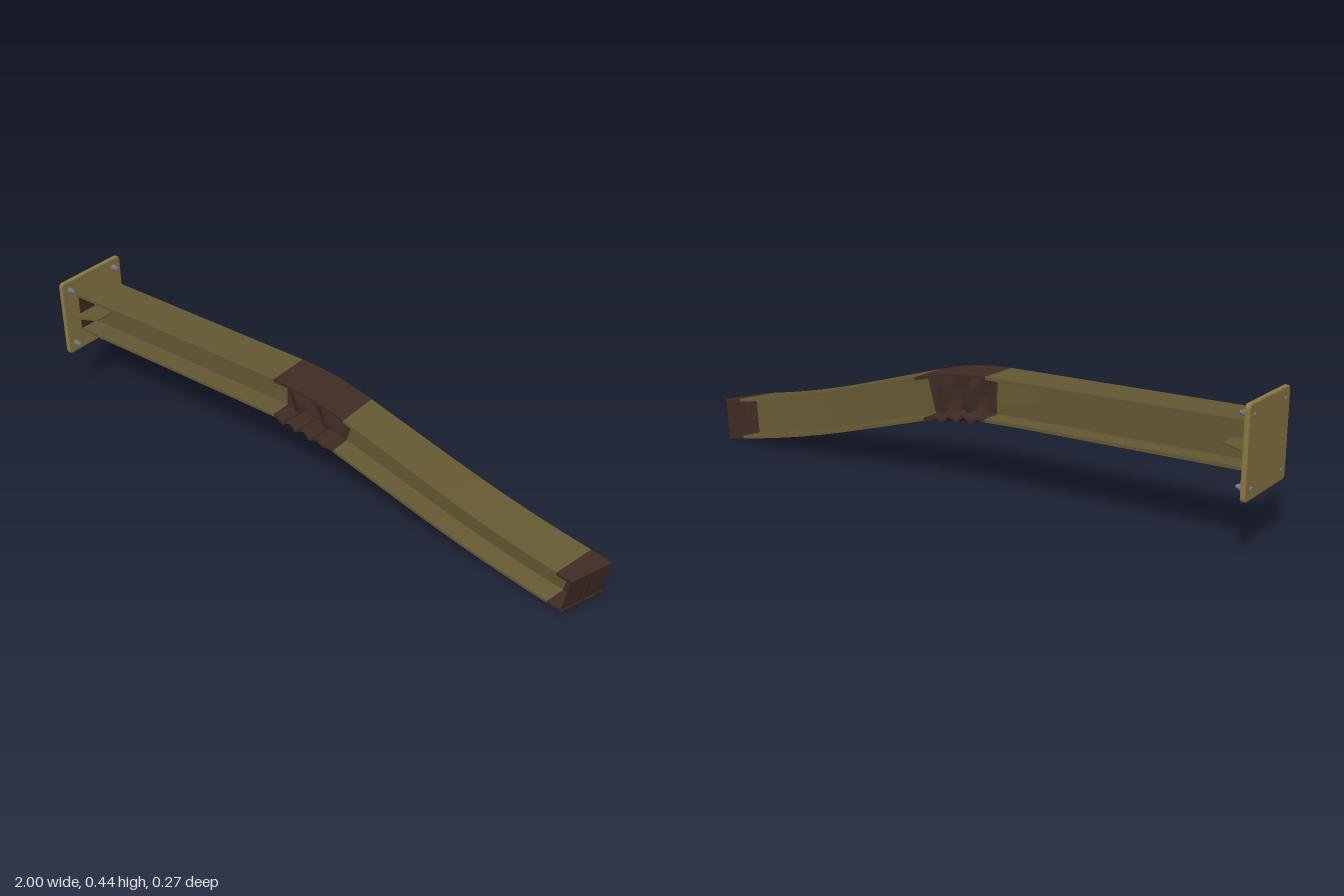
import * as THREE from 'three';

const mat = (name, color) => {
  const m = new THREE.MeshStandardMaterial({ color });
  m.name = name;
  return m;
};
const smooth = THREE.MathUtils.smoothstep;

// Slope and height of the bent beam's centre line at a distance x
const slope = (x) => -0.285 * smooth(x, -0.15, 0.15) + 0.115 * smooth(x, 0.35, 0.97);
function height(x) {
  let y = 0.32;
  const n = 60, dx = (x + 0.2) / n;
  if (dx <= 0) return y;
  for (let i = 0; i < n; i++) y += slope(-0.2 + (i + 0.5) * dx) * dx;
  return y;
}

// Carries a straight-beam point onto the bent, twisted and crumpled beam
function bend(p) {
  let { x: s, y: v, z } = p;
  const kink = smooth(s, -0.14, -0.07) * (1 - smooth(s, 0.06, 0.13));
  const low = smooth(-v, 0.0, 0.065);
  // Buckled web
  const inner = Math.max(0, 1 - (v / 0.062) ** 2);
  if (Math.abs(z) < 0.02) z += kink * inner * 0.013 * Math.sin(s * 55 + v * 25);
  // Wrinkled lower flange
  v += kink * low * (-0.004 + 0.008 * Math.sin(s * 105 + z * 12));
  z *= 1 + 0.08 * kink * low;
  // Twist and slanted cut towards the free end
  const a = 0.1 * smooth(s, 0.0, 0.9);
  const y2 = v * Math.cos(a) - z * Math.sin(a) * 0.6;
  const z2 = z * Math.cos(a) + v * Math.sin(a);
  s -= z * 0.34 * smooth(s, 0.82, 0.96);
  const m = slope(s), l = Math.hypot(1, m);
  p.set(s - (m / l) * y2, height(s) + y2 / l, z2);
}

function bentBox(x0, x1, y0, y1, z0, z1, segs, rows = 1, cols = 1) {
  const g = new THREE.BoxGeometry(x1 - x0, y1 - y0, z1 - z0, segs, rows, cols);
  g.translate((x0 + x1) / 2, (y0 + y1) / 2, (z0 + z1) / 2);
  const pos = g.attributes.position, p = new THREE.Vector3();
  for (let i = 0; i < pos.count; i++) {
    bend(p.fromBufferAttribute(pos, i));
    pos.setXYZ(i, p.x, p.y, p.z);
  }
  g.computeVertexNormals();
  return g;
}

export function createModel() {
  const olive = mat('olive paint', 0x655933);
  const rust = mat('dark rust', 0x3f2c24);
  const tan = mat('plate tan', 0x8b7944);
  const steel = mat('bolt steel', 0x777a82);
  const model = new THREE.Group();
  const add = (name, g, m, parent = model) => {
    const mesh = new THREE.Mesh(g, m);
    mesh.name = name;
    parent.add(mesh);
    return mesh;
  };

  // I-beam in four lengths, alternately painted and rusted
  const H = 0.07, W = 0.072, T = 0.01, w = 0.005;
  const lengths = [
    ['straightBeam', -0.98, -0.12, olive, 8],
    ['kinkedBeam', -0.12, 0.13, rust, 48],
    ['saggingBeam', 0.13, 0.9, olive, 28],
    ['brokenEnd', 0.9, 0.96, rust, 6],
  ];
  for (const [name, x0, x1, m, n] of lengths) {
    const part = new THREE.Group();
    part.name = name;
    add('topFlange', bentBox(x0, x1, H - T, H, -W, W, n, 1, 6), m, part);
    add('bottomFlange', bentBox(x0, x1, -H, T - H, -W, W, n, 1, 6), m, part);
    add('web', bentBox(x0, x1, T - H, H - T, -w, w, n, 10), m, part);
    model.add(part);
  }

  // Rusted panels closing the recesses at both ends
  for (const side of [-1, 1]) {
    const z0 = side < 0 ? -W : w, z1 = side < 0 ? -w : W;
    add('wallEndPanel', bentBox(-0.978, -0.974, T - H, H - T, z0, z1, 1), rust);
    add('freeEndPanel', bentBox(0.953, 0.957, T - H, H - T, z0, z1, 1, 4, 4), rust);
  }

  // Mounting plate with rounded, bevelled corners
  const hw = 0.132, hh = 0.132, r = 0.012;
  const s = new THREE.Shape();
  s.moveTo(-hw + r, -hh);
  s.lineTo(hw - r, -hh).quadraticCurveTo(hw, -hh, hw, -hh + r);
  s.lineTo(hw, hh - r).quadraticCurveTo(hw, hh, hw - r, hh);
  s.lineTo(-hw + r, hh).quadraticCurveTo(-hw, hh, -hw, hh - r);
  s.lineTo(-hw, -hh + r).quadraticCurveTo(-hw, -hh, -hw + r, -hh);
  const plate = new THREE.ExtrudeGeometry(s, {
    depth: 0.008, bevelThickness: 0.004, bevelSize: 0.004, bevelSegments: 2, curveSegments: 5,
  });
  plate.rotateY(Math.PI / 2).translate(-0.992, 0.317, 0);
  add('mountingPlate', plate, tan);

  // Tapered gussets beside the web
  for (const side of [-1, 1]) {
    const g = new THREE.Shape([
      new THREE.Vector2(-0.982, 0), new THREE.Vector2(-0.895, 0),
      new THREE.Vector2(-0.895, side * 0.068), new THREE.Vector2(-0.965, side * 0.106),
      new THREE.Vector2(-0.982, side * 0.106),
    ]);
    const geo = new THREE.ExtrudeGeometry(g, { depth: 0.006, bevelEnabled: false });
    geo.rotateX(Math.PI / 2).translate(0, 0.319, 0);
    add('gusset', geo, olive);
  }

  // Hex bolts through the plate corners
  for (const y of [0.215, 0.42]) for (const z of [-0.103, 0.103]) {
    const bolt = new THREE.Group();
    bolt.name = 'bolt';
    const cyl = (name, rad, x0, x1, n) => {
      const g = new THREE.CylinderGeometry(rad, rad, x1 - x0, n);
      g.rotateZ(-Math.PI / 2).translate((x0 + x1) / 2, 0, 0);
      add(name, g, steel, bolt);
    };
    cyl('washer', 0.011, -0.981, -0.977, 16);
    cyl('head', 0.01, -0.977, -0.964, 6);
    cyl('shank', 0.006, -1.0, -0.956, 12);
    bolt.position.set(0, y, z);
    model.add(bolt);
  }
  return model;
}
